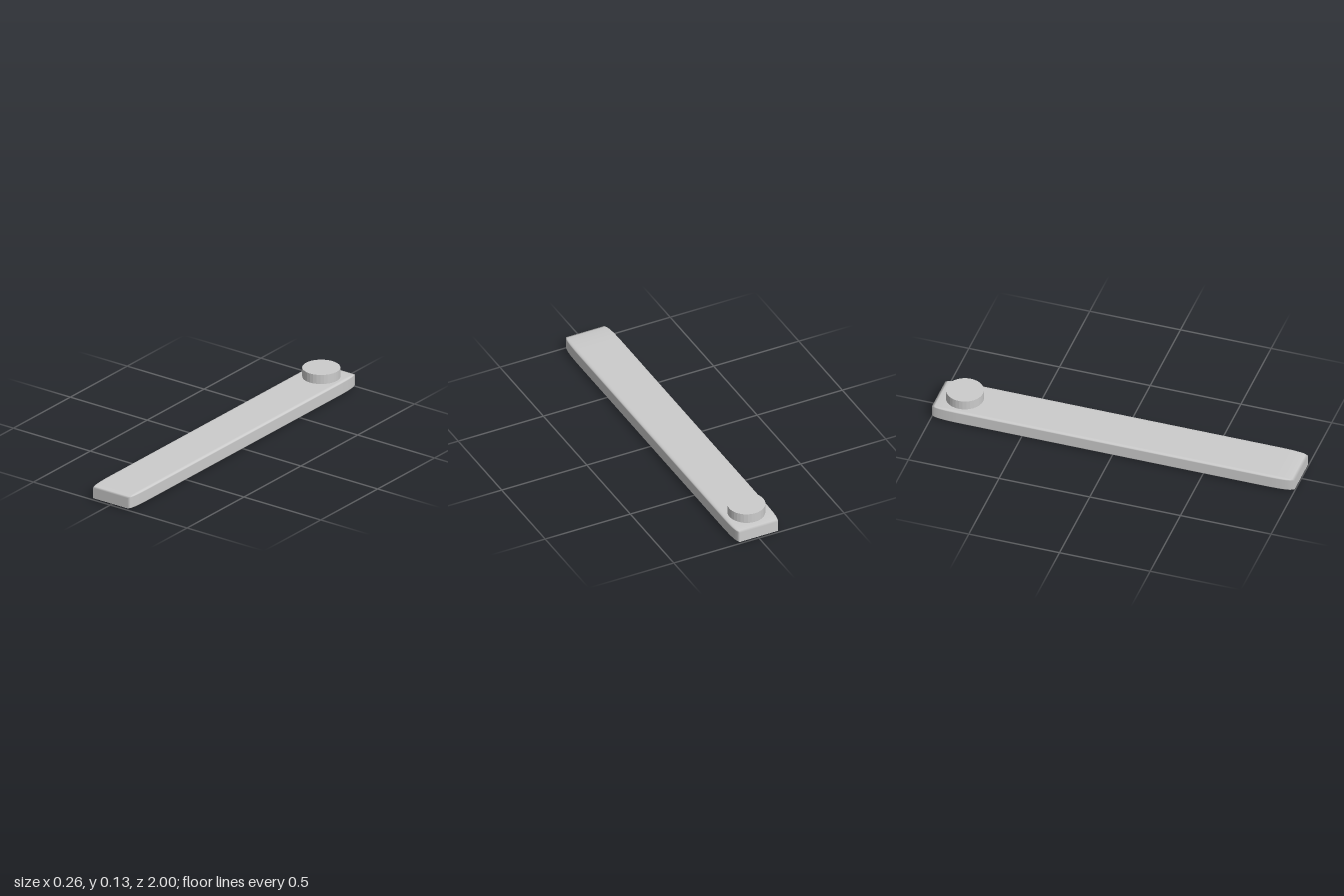
import * as THREE from 'three';
import { RoundedBoxGeometry } from 'three/addons/geometries/RoundedBoxGeometry.js';

export function createModel() {
  const group = new THREE.Group();
  const grey = new THREE.MeshStandardMaterial({ color: 0xcccccc });

  // long bar: a rounded block stretched along z, so its corners taper at the ends
  const barHeight = 0.078;
  const barGeometry = new RoundedBoxGeometry(1, 0.54, 1, 2, 0.07);
  barGeometry.scale(0.26, barHeight / 0.54, 2);
  const bar = new THREE.Mesh(barGeometry, grey);
  bar.name = 'bar';
  bar.position.y = barHeight / 2;
  group.add(bar);

  // round knob near the back end, sunk slightly into the bar
  const knobTop = 0.13, knobBottom = 0.03;
  const knobMaterial = grey.clone();
  knobMaterial.flatShading = true;
  const knob = new THREE.Mesh(
    new THREE.CylinderGeometry(0.1, 0.1, knobTop - knobBottom, 32),
    knobMaterial
  );
  knob.name = 'knob';
  knob.position.set(0, (knobTop + knobBottom) / 2, -0.855);
  group.add(knob);

  return group;
}
